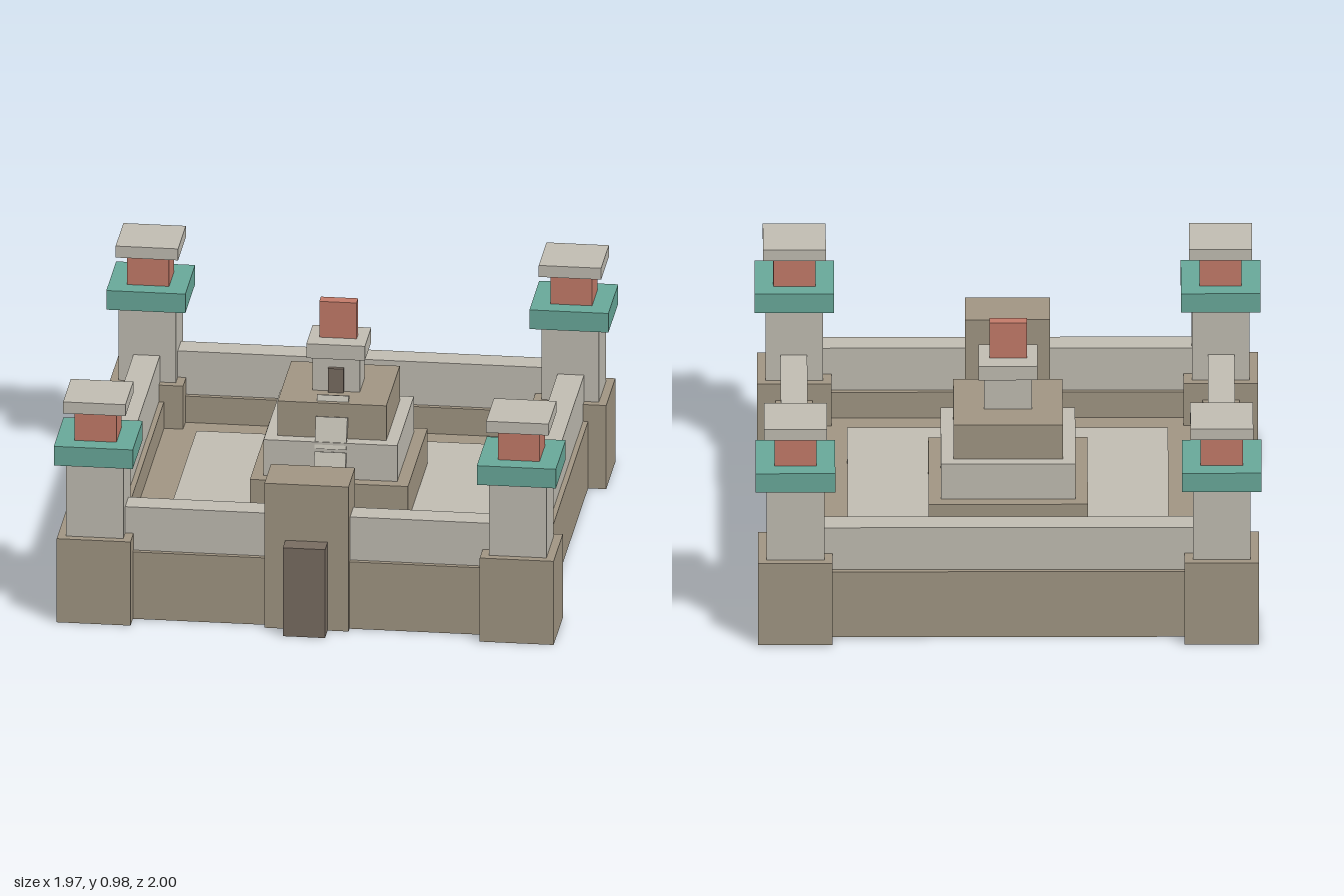
import * as THREE from 'three';

const mat = (name, color) => {
  const m = new THREE.MeshStandardMaterial({ color });
  m.name = name;
  return m;
};

export function createModel() {
  const brown = mat('brownStone', 0xa39885);
  const pale = mat('paleStone', 0xc4c0b5);
  const red = mat('redClay', 0xc67d6b);
  const teal = mat('tealTrim', 0x6aab9c);
  const dark = mat('darkWood', 0x7a6e63);

  const root = new THREE.Group();
  root.name = 'walledTemple';
  const CZ = -0.0125; // centre of the enclosure in z
  const TZ = -0.1; // centre of the temple in z

  // box given by half widths in x and z, bottom and top heights, and centre
  const block = (parent, name, material, hx, hz, y0, y1, x = 0, z = 0) => {
    const mesh = new THREE.Mesh(new THREE.BoxGeometry(hx * 2, y1 - y0, hz * 2), material);
    mesh.position.set(x, (y0 + y1) / 2, z);
    mesh.name = name;
    parent.add(mesh);
    return mesh;
  };

  // courtyard floor
  block(root, 'foundation', brown, 0.89, 0.89, 0, 0.17, 0, CZ);
  block(root, 'plaza', pale, 0.625, 0.625, 0.17, 0.19, 0, CZ);

  // four walls: broad brown footing with a narrower pale parapet
  const walls = new THREE.Group();
  walls.name = 'walls';
  root.add(walls);
  for (const s of [-1, 1]) {
    block(walls, 'sideWallFooting', brown, 0.072, 0.8, 0, 0.28, s * 0.832, CZ);
    block(walls, 'sideWallParapet', pale, 0.052, 0.8, 0.28, 0.46, s * 0.832, CZ);
    block(walls, 'endWallFooting', brown, 0.8, 0.072, 0, 0.28, 0, CZ + s * 0.83);
    block(walls, 'endWallParapet', pale, 0.8, 0.052, 0.28, 0.46, 0, CZ + s * 0.83);
  }

  // corner towers
  for (const sx of [-1, 1]) {
    for (const sz of [-1, 1]) {
      const tower = new THREE.Group();
      tower.name = 'cornerTower';
      tower.position.set(sx * 0.83, 0, CZ + sz * 0.83);
      block(tower, 'towerBase', brown, 0.145, 0.145, 0, 0.35);
      block(tower, 'towerShaft', pale, 0.1125, 0.1125, 0.35, 0.66);
      block(tower, 'towerBalcony', teal, 0.155, 0.155, 0.66, 0.74);
      block(tower, 'towerLantern', red, 0.082, 0.082, 0.74, 0.867);
      block(tower, 'towerCap', pale, 0.1225, 0.1225, 0.867, 0.915);
      root.add(tower);
    }
  }

  // gatehouse and its projecting door
  block(root, 'gatehouse', brown, 0.165, 0.1025, 0, 0.605, 0, 0.8175);
  block(root, 'gateDoor', dark, 0.083, 0.045, 0, 0.37, 0, 0.955);

  // stepped pyramid
  const temple = new THREE.Group();
  temple.name = 'temple';
  temple.position.z = TZ;
  root.add(temple);
  block(temple, 'lowerTier', brown, 0.31, 0.31, 0.19, 0.335);
  block(temple, 'middleTier', pale, 0.262, 0.262, 0.335, 0.485);
  block(temple, 'upperTier', brown, 0.213, 0.213, 0.485, 0.63);

  // shrine on top
  block(temple, 'shrine', pale, 0.093, 0.074, 0.63, 0.77, 0, 0.008);
  block(temple, 'shrineRoof', pale, 0.115, 0.1, 0.77, 0.83);
  block(temple, 'roofComb', red, 0.073, 0.025, 0.83, 0.98);
  block(temple, 'shrineDoor', dark, 0.03, 0.009, 0.63, 0.73, 0, 0.09);

  // steep stair slabs leaning against the tiers
  [[0.222, 0.26], [0.18, 0.385], [0.137, 0.515], [0.095, 0.59]].forEach(([z, y]) => {
    const slab = block(root, 'stairSlab', pale, 0.062, 0.011, y - 0.063, y + 0.063, 0, z);
    slab.rotation.x = -0.32;
  });

  return root;
}
